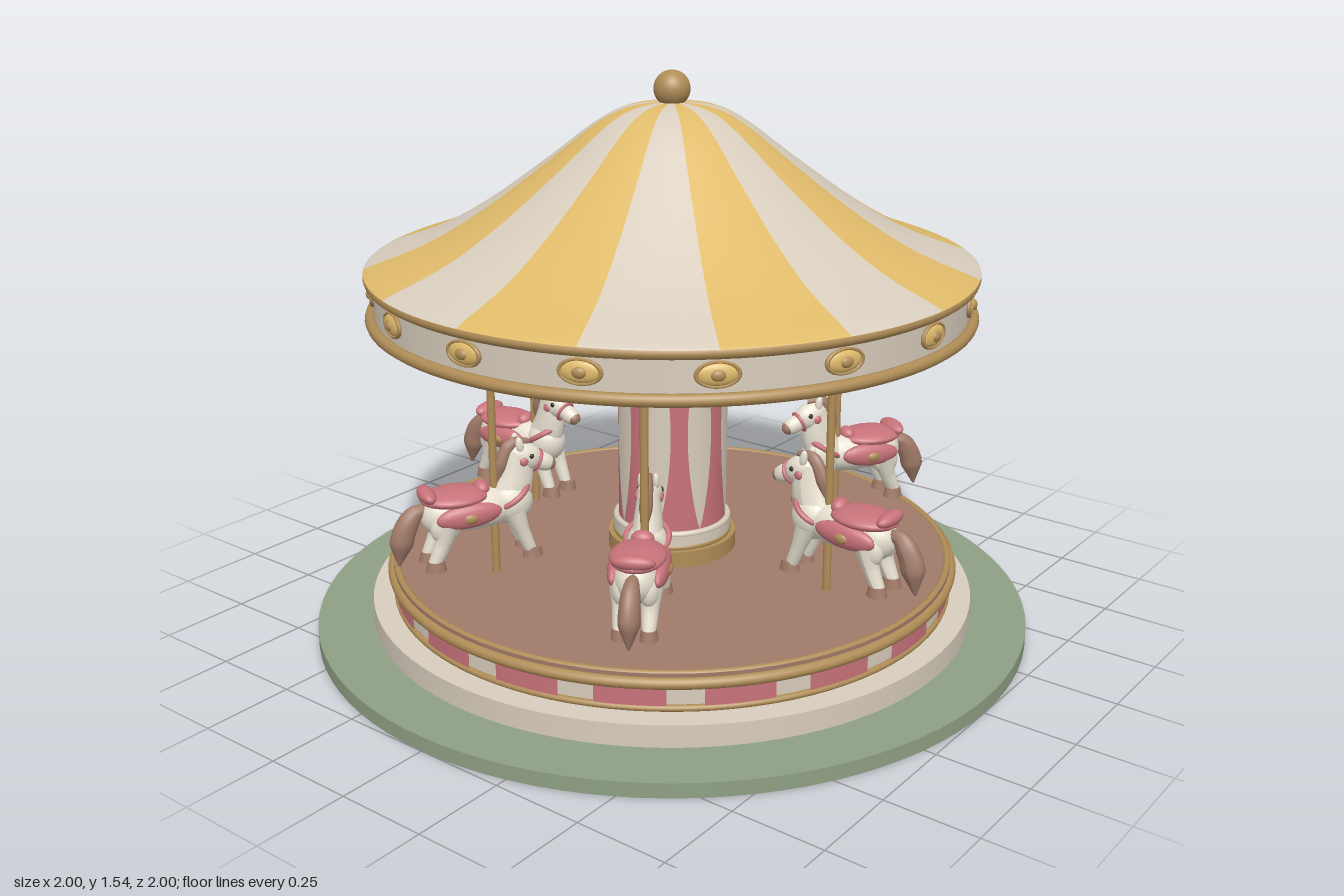
import * as THREE from 'three';

const mat = (color) => new THREE.MeshStandardMaterial({ color });
const CREAM = mat(0xd8cdbd), YELLOW = mat(0xdfba6a), GREEN = mat(0x8fa084), PINK = mat(0xc8737a);
const GOLD = mat(0xb08d57), BROWN = mat(0xa07a68), WHITE = mat(0xe6dfd0), DARK = mat(0x3a302c);
const V = (x, y, z) => new THREE.Vector3(x, y, z);

function add(parent, name, geometry, material, x = 0, y = 0, z = 0) {
  const mesh = new THREE.Mesh(geometry, material);
  mesh.name = name;
  mesh.position.set(x, y, z);
  parent.add(mesh);
  return mesh;
}

// Upright disc between two heights
function disc(parent, name, radius, y0, y1, material, sides = 96) {
  return add(parent, name, new THREE.CylinderGeometry(radius, radius, y1 - y0, sides), material, 0, (y0 + y1) / 2, 0);
}

function ring(parent, name, radius, tube, y, material) {
  add(parent, name, new THREE.TorusGeometry(radius, tube, 10, 96).rotateX(Math.PI / 2), material, 0, y, 0);
}

function blob(parent, name, material, [x, y, z], [sx, sy, sz], tilt = 0) {
  const mesh = add(parent, name, new THREE.SphereGeometry(1, 20, 14), material, x, y, z);
  mesh.scale.set(sx, sy, sz);
  mesh.rotation.x = tilt;
  return mesh;
}

// Round tube along a curve whose radius follows a list of values
function taperTube(points, radii, flat = 1) {
  const curve = new THREE.CatmullRomCurve3(points);
  const n = 16, sides = 12;
  const geo = new THREE.TubeGeometry(curve, n, 1, sides);
  const p = geo.attributes.position, v = V(0, 0, 0);
  for (let i = 0; i <= n; i++) {
    const c = curve.getPointAt(i / n);
    const t = (i / n) * (radii.length - 1), k = Math.min(Math.floor(t), radii.length - 2);
    const r = THREE.MathUtils.lerp(radii[k], radii[k + 1], t - k);
    for (let j = 0; j <= sides; j++) {
      const id = i * (sides + 1) + j;
      v.fromBufferAttribute(p, id).sub(c).multiplyScalar(r);
      v.x *= flat;
      v.add(c);
      p.setXYZ(id, v.x, v.y, v.z);
    }
  }
  geo.computeVertexNormals();
  return geo;
}

// Pointed strip wrapped on the column
function petalGeometry(radius, y0, y1, halfAngle) {
  const geo = new THREE.PlaneGeometry(2, 1, 6, 24);
  const p = geo.attributes.position;
  for (let i = 0; i < p.count; i++) {
    const t = p.getY(i) + 0.5;
    const a = p.getX(i) * halfAngle * Math.pow(Math.sin(Math.PI * t), 0.8);
    p.setXYZ(i, radius * Math.sin(a), y0 + (y1 - y0) * t, radius * Math.cos(a));
  }
  geo.computeVertexNormals();
  return geo;
}

// Horse on its pole: faces +z, pole at the origin
function createHorse() {
  const h = new THREE.Group();
  h.name = 'horse';
  add(h, 'pole', new THREE.CylinderGeometry(0.011, 0.011, 0.7, 14), GOLD, 0, 0.555, 0);
  blob(h, 'body', WHITE, [0, 0.4, -0.06], [0.058, 0.058, 0.145]);
  blob(h, 'rump', WHITE, [0, 0.395, -0.14], [0.056, 0.06, 0.065]);
  blob(h, 'chest', WHITE, [0, 0.405, 0.045], [0.054, 0.062, 0.062]);
  add(h, 'neck', taperTube([V(0, 0.39, 0.03), V(0, 0.46, 0.06), V(0, 0.545, 0.075)], [0.06, 0.05, 0.036], 0.75), WHITE);
  blob(h, 'head', WHITE, [0, 0.528, 0.088], [0.032, 0.038, 0.052], 0.4);
  blob(h, 'muzzle', WHITE, [0, 0.506, 0.138], [0.024, 0.025, 0.04], 0.45);
  blob(h, 'nose', BROWN, [0, 0.498, 0.157], [0.02, 0.019, 0.019]);
  const band = add(h, 'bridle', new THREE.TorusGeometry(0.028, 0.005, 8, 20), PINK, 0, 0.512, 0.122);
  band.rotation.x = 0.45;
  add(h, 'mane', taperTube([V(0, 0.57, 0.1), V(0, 0.568, 0.055), V(0, 0.52, 0.025), V(0, 0.455, 0.005)],
    [0.008, 0.02, 0.022, 0.004], 0.8), BROWN);
  add(h, 'tail', taperTube([V(0, 0.41, -0.18), V(0, 0.41, -0.215), V(0, 0.36, -0.25), V(0, 0.265, -0.268)],
    [0.014, 0.03, 0.034, 0.003], 0.85), BROWN);
  const collar = add(h, 'breastStrap', new THREE.TorusGeometry(0.055, 0.008, 8, 24), PINK, 0, 0.425, 0.045);
  collar.rotation.x = 1.0;

  blob(h, 'saddle', PINK, [0, 0.442, -0.11], [0.072, 0.024, 0.095]);
  blob(h, 'saddleBack', PINK, [0, 0.457, -0.185], [0.055, 0.02, 0.025], 0.4);
  blob(h, 'saddleFront', PINK, [0, 0.455, -0.035], [0.03, 0.022, 0.022]);
  for (const s of [-1, 1]) {
    blob(h, 'ear', WHITE, [s * 0.019, 0.567, 0.07], [0.009, 0.024, 0.011], -0.15);
    blob(h, 'eye', DARK, [s * 0.029, 0.535, 0.1], [0.005, 0.007, 0.007]);
    blob(h, 'cheekRosette', PINK, [s * 0.03, 0.522, 0.078], [0.007, 0.012, 0.012]);
    blob(h, 'saddleFlap', PINK, [s * 0.056, 0.402, -0.085], [0.022, 0.034, 0.09], -0.05);
    blob(h, 'flapMedallion', GOLD, [s * 0.074, 0.4, -0.085], [0.009, 0.014, 0.02]);
    blob(h, 'thigh', WHITE, [s * 0.034, 0.375, -0.145], [0.028, 0.05, 0.042], 0.25);
    add(h, 'backLeg', taperTube([V(s * 0.035, 0.38, -0.14), V(s * 0.036, 0.325, -0.155), V(s * 0.036, 0.27, -0.18)],
      [0.034, 0.023, 0.018]), WHITE);
    add(h, 'frontLeg', taperTube([V(s * 0.034, 0.39, 0.045), V(s * 0.036, 0.33, 0.065), V(s * 0.036, 0.27, 0.088)],
      [0.03, 0.021, 0.017]), WHITE);
    for (const z of [-0.176, 0.094]) {
      const hoof = add(h, 'hoof', new THREE.CylinderGeometry(0.019, 0.024, 0.028, 16), BROWN, s * 0.036, 0.265, z);
      hoof.scale.z = 1.2;
    }
  }
  return h;
}

export function createModel() {
  const model = new THREE.Group();
  model.name = 'carousel';

  // Ground disc, step and platform
  disc(model, 'groundDisc', 1, 0, 0.04, GREEN);
  disc(model, 'step', 0.845, 0.04, 0.1, CREAM);
  disc(model, 'platformDrum', 0.775, 0.1, 0.18, CREAM);
  disc(model, 'deck', 0.785, 0.17, 0.205, BROWN);
  ring(model, 'lowerPlatformTrim', 0.778, 0.009, 0.109, GOLD);
  ring(model, 'upperPlatformTrim', 0.785, 0.016, 0.18, GOLD);
  ring(model, 'deckEdge', 0.775, 0.01, 0.2, GOLD);
  for (let i = 0; i < 18; i++) {
    const a = i * Math.PI / 9, w = 0.23;
    add(model, 'platformPanel', new THREE.CylinderGeometry(0.782, 0.782, 0.045, 8, 1, true, a - w / 2, w), PINK, 0, 0.139, 0);
  }

  // Centre column
  disc(model, 'columnBase', 0.18, 0.2, 0.25, GOLD, 64);
  disc(model, 'columnFoot', 0.165, 0.25, 0.295, CREAM, 64);
  disc(model, 'column', 0.15, 0.25, 0.9, PINK, 64);
  disc(model, 'columnCap', 0.165, 0.855, 0.88, CREAM, 64);
  ring(model, 'columnFootTrim', 0.157, 0.01, 0.255, GOLD);
  ring(model, 'columnFootBead', 0.157, 0.009, 0.293, CREAM);
  ring(model, 'columnCapTrim', 0.162, 0.01, 0.878, CREAM);
  const petal = petalGeometry(0.154, 0.3, 0.855, 0.24);
  for (let i = 0; i < 8; i++) {
    add(model, 'columnPetal', petal, CREAM).rotation.y = (i + 0.5) * Math.PI / 4;
  }

  // Horses facing the column
  for (let i = 0; i < 6; i++) {
    const a = i * Math.PI / 3, horse = createHorse();
    horse.position.set(0.52 * Math.sin(a), 0, 0.52 * Math.cos(a));
    horse.rotation.y = a + Math.PI;
    model.add(horse);
  }

  // Valance with oval medallions
  disc(model, 'valance', 0.8, 0.9, 1.03, CREAM);
  disc(model, 'ceiling', 0.79, 0.896, 0.91, BROWN);
  ring(model, 'lowerValanceTrim', 0.81, 0.016, 0.907, GOLD);
  ring(model, 'upperValanceTrim', 0.81, 0.016, 1.02, GOLD);
  for (let i = 0; i < 16; i++) {
    const holder = new THREE.Group();
    holder.name = 'medallion';
    holder.rotation.y = i * Math.PI / 8;
    blob(holder, 'medallionPlate', YELLOW, [0, 0.965, 0.802], [0.05, 0.027, 0.012]);
    const rim = add(holder, 'medallionRim', new THREE.TorusGeometry(0.05, 0.006, 8, 28), GOLD, 0, 0.965, 0.803);
    rim.scale.y = 0.6;
    blob(holder, 'medallionGem', GOLD, [0, 0.965, 0.811], [0.018, 0.014, 0.01]);
    model.add(holder);
  }

  // Striped roof and finial
  const profile = new THREE.SplineCurve([[0.825, 1.03], [0.8, 1.042], [0.65, 1.1], [0.5, 1.187], [0.34, 1.302],
    [0.2, 1.408], [0.11, 1.45], [0, 1.463]].map(([r, y]) => new THREE.Vector2(r, y))).getPoints(36);
  for (let i = 0; i < 16; i++) {
    add(model, 'roofStripe', new THREE.LatheGeometry(profile, 8, i * Math.PI / 8, Math.PI / 8), i % 2 ? CREAM : YELLOW);
  }
  add(model, 'finial', new THREE.SphereGeometry(0.049, 32, 20), GOLD, 0, 1.495, 0);
  return model;
}
